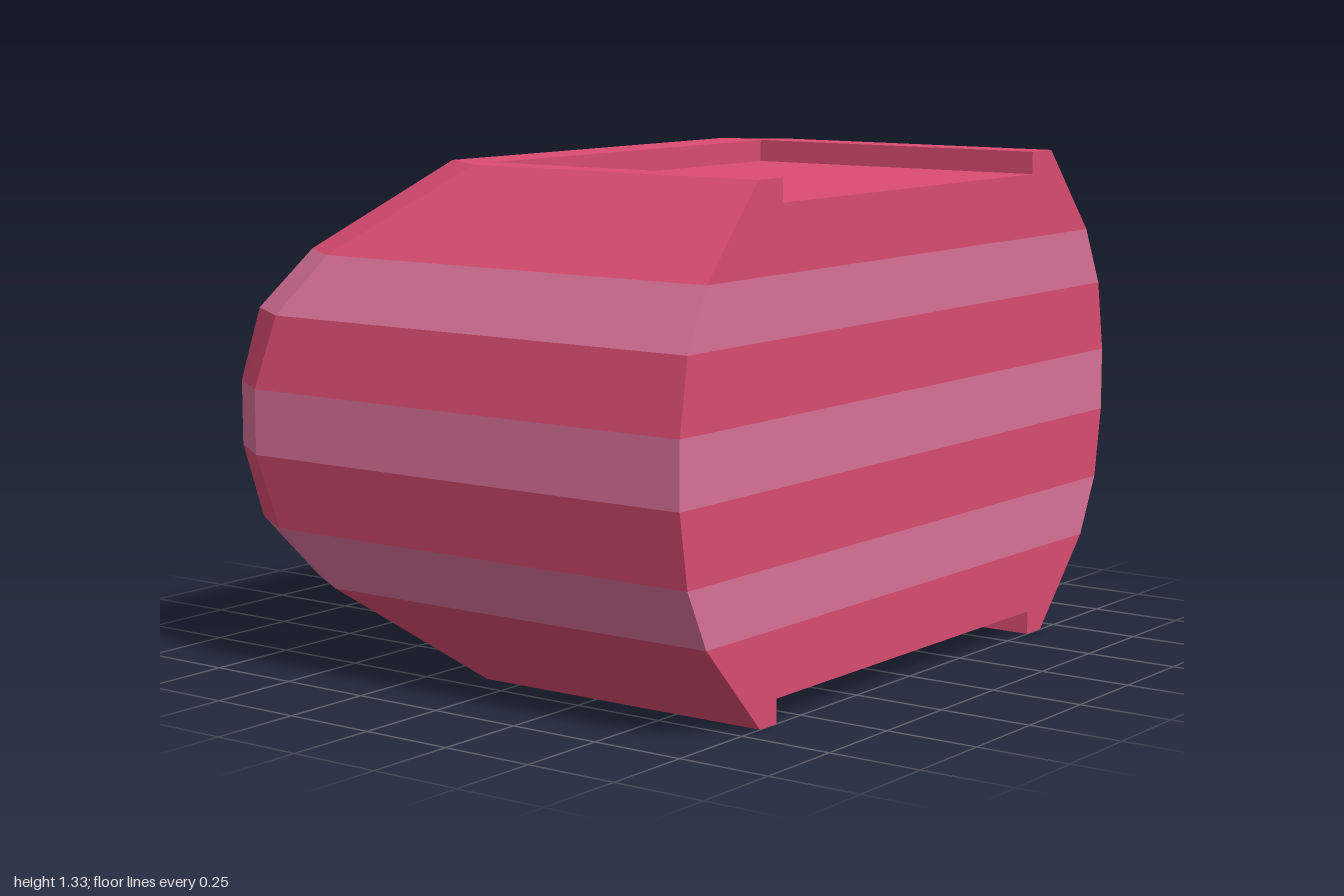
import * as THREE from 'three';

const RIGHT = 0.75; // flat cut side
const red = new THREE.MeshStandardMaterial({ color: 0xdb4c72, flatShading: true });
const pale = new THREE.MeshStandardMaterial({ color: 0xda7297, flatShading: true });

// Levels: height, left edge x, half depth, corner-cut start x, corner-cut z
const levels = [
  [0, -0.26, 0.675, -0.11, 0.57],
  [0.235, -0.59, 0.895, -0.43, 0.79],
  [0.39, -0.71, 0.97, -0.55, 0.865],
  [0.58, -0.75, 1, -0.6, 0.895],
  [0.75, -0.75, 1, -0.6, 0.895],
  [0.94, -0.71, 0.97, -0.55, 0.865],
  [1.095, -0.59, 0.895, -0.44, 0.79],
  [1.325, -0.285, 0.69, -0.125, 0.585],
];

// Open outline (x, z) running from the back right corner round the left to the front right
const outline = ([, left, depth, cutX, cutZ]) => [
  [RIGHT, -depth], [cutX, -depth], [left, -cutZ],
  [left, cutZ], [cutX, depth], [RIGHT, depth],
];

// Wall of quads between two outlines
function wall(lower, y0, upper, y1) {
  const p = [];
  for (let i = 0; i < lower.length - 1; i++) {
    const a = [lower[i][0], y0, lower[i][1]], b = [lower[i + 1][0], y0, lower[i + 1][1]];
    const c = [upper[i + 1][0], y1, upper[i + 1][1]], d = [upper[i][0], y1, upper[i][1]];
    p.push(...a, ...b, ...c, ...a, ...c, ...d);
  }
  const g = new THREE.BufferGeometry();
  g.setAttribute('position', new THREE.Float32BufferAttribute(p, 3));
  g.computeVertexNormals();
  return g;
}

const face = (pts) => new THREE.ShapeGeometry(new THREE.Shape(pts.map(([x, y]) => new THREE.Vector2(x, y))));
// Horizontal face looking up (dir = 1) or down (dir = -1)
const flat = (pts, y, dir) => face(pts).rotateX(-dir * Math.PI / 2).translate(0, y, 0);
// Upright face on the cut side
const side = (pts) => face(pts).rotateY(Math.PI / 2).translate(RIGHT, 0, 0);

function part(name, material, geometries) {
  const group = new THREE.Group();
  group.name = name;
  geometries.forEach((g) => {
    const mesh = new THREE.Mesh(g, material);
    mesh.name = name + 'Surface';
    group.add(mesh);
  });
  return group;
}

export function createModel() {
  const model = new THREE.Group();
  model.name = 'bandedShell';

  // Recesses in the top and bottom, both open on the cut side
  const topRecess = [[RIGHT, -0.59], [-0.14, -0.59], [-0.14, 0.59], [RIGHT, 0.59]];
  const bottomRecess = [[RIGHT, -0.605], [-0.09, -0.605], [-0.19, -0.54],
    [-0.19, 0.54], [-0.09, 0.605], [RIGHT, 0.605]];
  const recesses = [
    { name: 'top', path: topRecess, level: levels[7], floor: 1.265, dir: 1 },
    { name: 'bottom', path: bottomRecess, level: levels[0], floor: 0.063, dir: -1 },
  ];

  // Stacked bands with alternating colours
  for (let i = 0; i < levels.length - 1; i++) {
    const lo = levels[i], hi = levels[i + 1];
    const cut = [[-lo[2], lo[0]]];
    if (i === 0) cut.push([-0.605, 0], [-0.605, 0.063], [0.605, 0.063], [0.605, 0]);
    cut.push([lo[2], lo[0]], [hi[2], hi[0]]);
    if (i === 6) cut.push([0.59, 1.325], [0.59, 1.265], [-0.59, 1.265], [-0.59, 1.325]);
    cut.push([-hi[2], hi[0]]);
    model.add(part('band' + (i + 1), i % 2 ? pale : red,
      [wall(outline(lo), lo[0], outline(hi), hi[0]), side(cut)]));
  }

  // Rim, inner walls and floor of each recess
  for (const { name, path, level, floor, dir } of recesses) {
    const y = level[0];
    model.add(part(name + 'Rim', red, [flat([...outline(level), ...[...path].reverse()], y, dir)]));
    const inner = dir > 0 ? wall(path, y, path, floor) : wall(path, floor, path, y);
    // Inner walls must face the middle of the recess
    if (dir < 0) inner.copy(wall(path, floor, path, y));
    model.add(part(name + 'Recess', red, [inner, flat(path, floor, dir)]));
  }
  return model;
}
